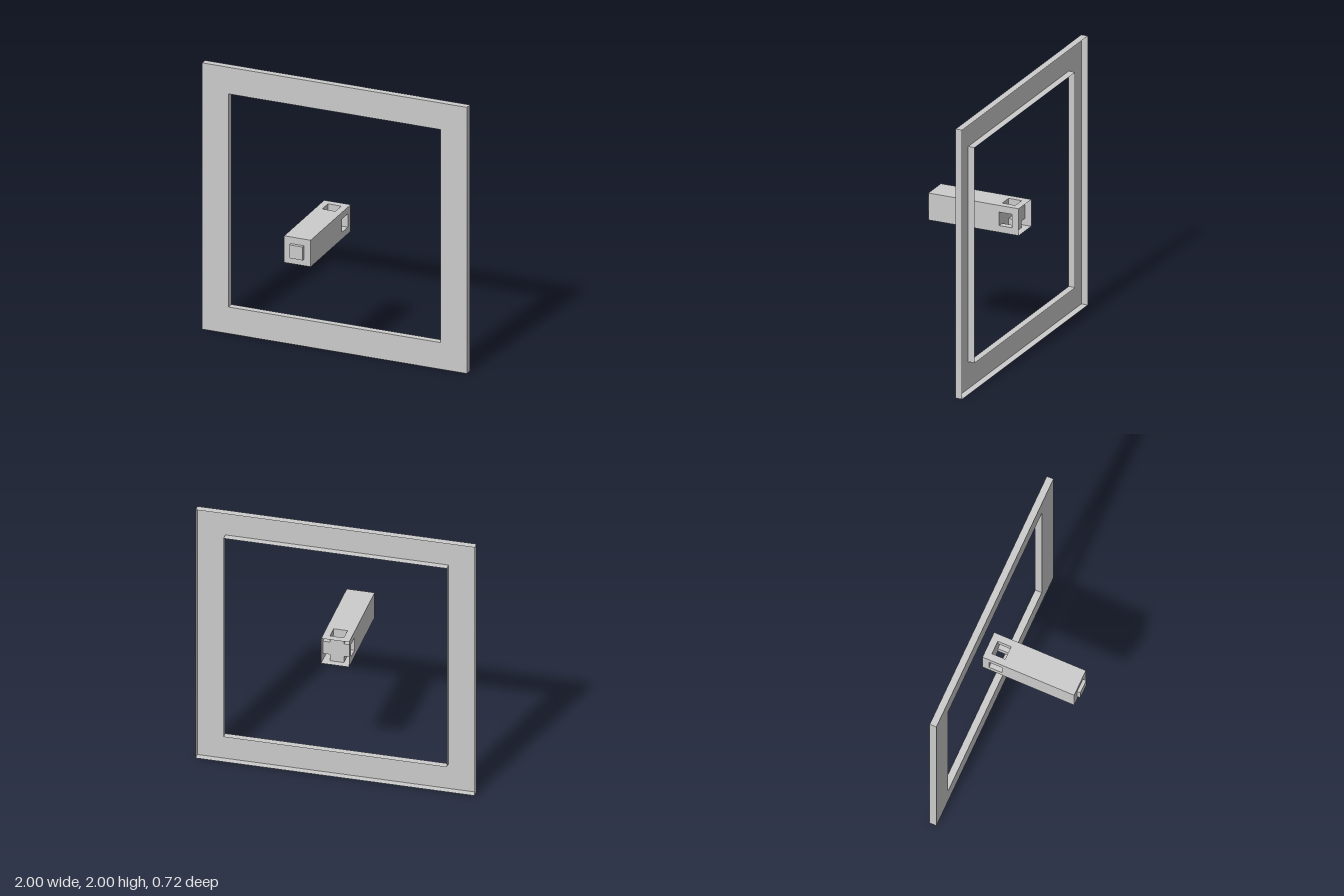
import * as THREE from 'three';
import { mergeGeometries } from 'three/addons/utils/BufferGeometryUtils.js';

const BACK = -0.36, PLATE = -0.31, TUNNEL = -0.21, BAR_FRONT = 0.335, TIP = 0.36;

const rect = (Type, x0, y0, x1, y1) => new Type([
  new THREE.Vector2(x0, y0), new THREE.Vector2(x1, y0),
  new THREE.Vector2(x1, y1), new THREE.Vector2(x0, y1),
]);

// Repeat a geometry four times around the z axis
const fourfold = (geo) => mergeGeometries(
  [0, 1, 2, 3].map((i) => geo.clone().rotateZ(i * Math.PI / 2)));

// Four plain walls of a square sleeve, facing outward or inward
function sleeve(half, z0, z1, inward = false) {
  const wall = new THREE.PlaneGeometry(2 * half, z1 - z0);
  wall.rotateX(inward ? Math.PI / 2 : -Math.PI / 2);
  wall.translate(0, half, (z0 + z1) / 2);
  return fourfold(wall);
}

export function createModel() {
  const model = new THREE.Group();
  const material = new THREE.MeshStandardMaterial({
    color: 0xcccccc, side: THREE.DoubleSide, flatShading: true,
  });
  const add = (name, parts) => {
    const mesh = new THREE.Mesh(mergeGeometries(parts), material);
    mesh.name = name;
    mesh.position.y = 1;
    model.add(mesh);
  };

  // Square frame: front face with outer and inner rims, open at the back
  const face = rect(THREE.Shape, -1, -1, 1, 1);
  face.holes.push(rect(THREE.Path, -0.8, -0.8, 0.8, 0.8));
  add('frame', [
    new THREE.ShapeGeometry(face).translate(0, 0, PLATE),
    sleeve(1, BACK, PLATE),
    sleeve(0.8, BACK, PLATE, true),
  ]);

  // Bar: four walls with a square window near the open back end, closed front
  const side = rect(THREE.Shape, -0.1, -BAR_FRONT, 0.1, -BACK);
  side.holes.push(rect(THREE.Path, -0.05, -TUNNEL, 0.05, -PLATE));
  const wall = new THREE.ShapeGeometry(side).rotateX(-Math.PI / 2).translate(0, 0.1, 0);
  add('bar', [
    fourfold(wall),
    new THREE.PlaneGeometry(0.2, 0.2).translate(0, 0, BAR_FRONT),
  ]);

  // Crossing tunnels that join the windows: plus-shaped ends and corner walls
  const a = 0.05, b = 0.1;
  const plus = new THREE.Shape([
    [a, a], [a, b], [-a, b], [-a, a], [-b, a], [-b, -a],
    [-a, -a], [-a, -b], [a, -b], [a, -a], [b, -a], [b, a],
  ].map(([x, y]) => new THREE.Vector2(x, y)));
  const strips = [-1, 1].map((s) => fourfold(
    new THREE.PlaneGeometry(TUNNEL - PLATE, b - a)
      .rotateY(-s * Math.PI / 2)
      .translate(s * a, (a + b) / 2, (PLATE + TUNNEL) / 2)));
  add('crossTunnel', [
    new THREE.ShapeGeometry(plus).translate(0, 0, PLATE),
    new THREE.ShapeGeometry(plus).rotateY(Math.PI).translate(0, 0, TUNNEL),
    ...strips,
  ]);

  // Small square stud on the front end
  add('stud', [
    sleeve(0.05, BAR_FRONT, TIP),
    new THREE.PlaneGeometry(0.1, 0.1).translate(0, 0, TIP),
  ]);

  return model;
}
